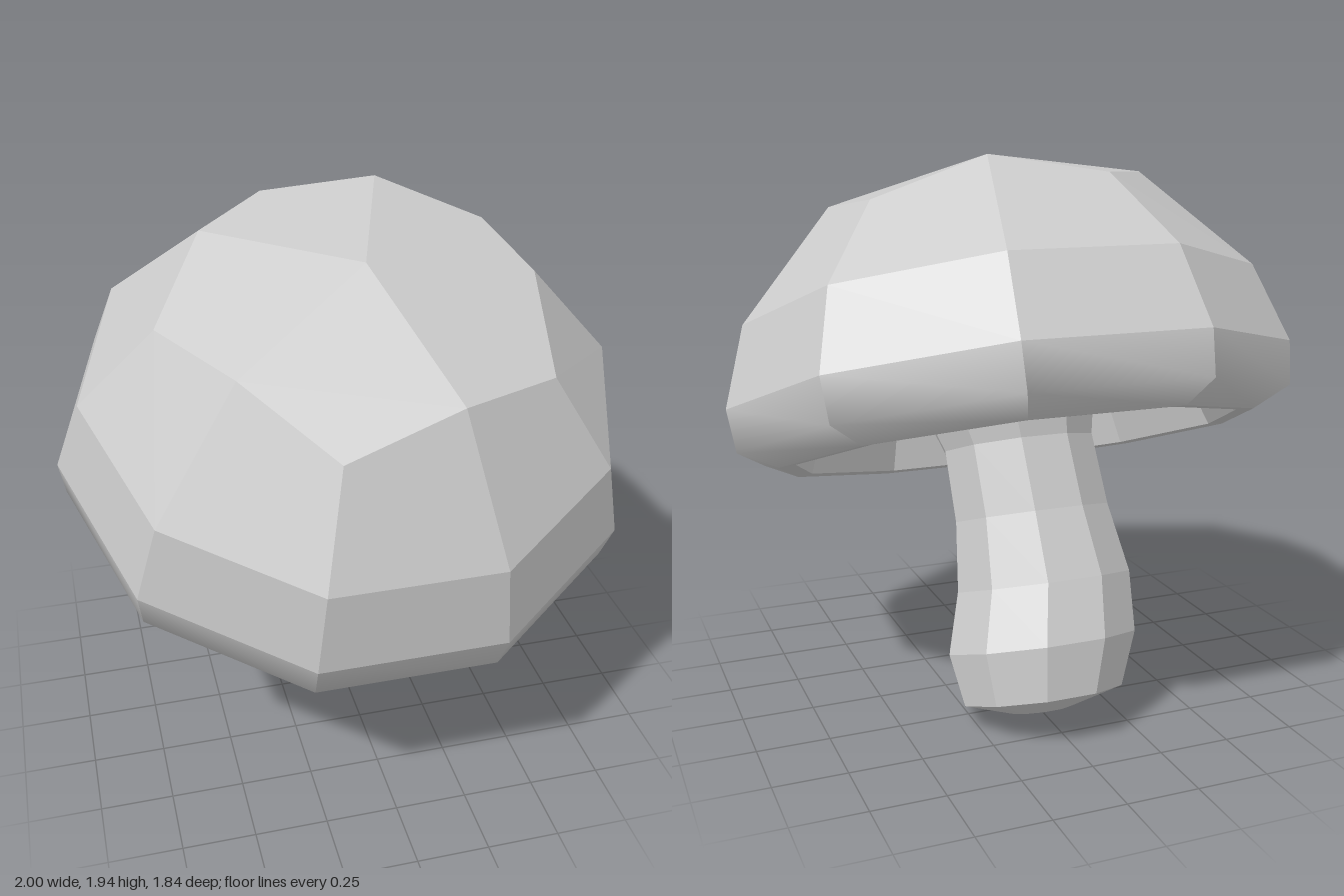
import * as THREE from 'three';

const SIDES = 10;

function buildGeometry(positions, index) {
  const geometry = new THREE.BufferGeometry();
  geometry.setAttribute('position', new THREE.Float32BufferAttribute(positions, 3));
  geometry.setIndex(index);
  geometry.computeVertexNormals();
  return geometry;
}

// Faceted surface through rings listed from bottom to top, one separate column per side.
// point(ring, side) returns [radius, height, sideways shift].
function facetedRings(ringCount, point) {
  const positions = [], index = [];
  for (let i = 0; i < SIDES; i++) {
    for (let j = 0; j < ringCount; j++) {
      for (const side of [i, (i + 1) % SIDES]) {
        const [r, h, shift = 0] = point(j, side);
        const t = (side / SIDES) * Math.PI * 2;
        positions.push(r * Math.cos(t) + shift, h, r * Math.sin(t));
      }
      if (j === ringCount - 1) continue;
      const a = (i * ringCount + j) * 2, b = a + 1, d = a + 2, c = a + 3;
      if (point(j + 1, i)[0] > 0) index.push(a, d, c);
      if (point(j, i)[0] > 0) index.push(a, c, b);
    }
  }
  return buildGeometry(positions, index);
}

// Crown: five kites around the tip, each running out to one corner and shaded as one face
function crownGeometry(tip, middle, corner) {
  const positions = [], index = [], normals = [];
  const push = ([r, h], t) => positions.push(r * Math.cos(t), h, r * Math.sin(t));
  const step = Math.PI / 5;
  const rise = tip[1] - corner[1];
  for (let k = 0; k < 5; k++) {
    const t = (2 * k + 1) * step, n = k * 4;
    push(tip, t);
    push(middle, t - step);
    push(middle, t + step);
    push(corner, t);
    index.push(n, n + 2, n + 1, n + 1, n + 2, n + 3);
    const normal = new THREE.Vector3(rise * Math.cos(t), corner[0], rise * Math.sin(t)).normalize();
    for (let v = 0; v < 4; v++) normals.push(...normal.toArray());
  }
  const geometry = buildGeometry(positions, index);
  geometry.setAttribute('normal', new THREE.Float32BufferAttribute(normals, 3));
  return geometry;
}

export function createModel() {
  const model = new THREE.Group();
  model.name = 'mushroom';
  const flat = new THREE.MeshStandardMaterial({ color: 0xcccccc, flatShading: true });
  const smooth = new THREE.MeshStandardMaterial({ color: 0xcccccc });

  // Cap and stem share one axis that leans forward
  const body = new THREE.Group();
  body.name = 'leaningBody';
  body.position.set(0, 0.92, -0.065);
  body.rotation.x = THREE.MathUtils.degToRad(20.5);
  model.add(body);

  const add = (name, geometry, material) => {
    const mesh = new THREE.Mesh(geometry, material);
    mesh.name = name;
    body.add(mesh);
  };

  const rim = [0.847, 0], lipTop = [1.0, 0.21];
  const crownMiddle = [0.575, 0.887], crownCorner = [0.66, 0.795];

  // Hollow underside of the cap
  const hollow = [[0, 0.26], [0.44, 0.24], [0.74, 0.14], [0.79, 0.005], rim];
  add('capUnderside', facetedRings(hollow.length, (j) => hollow[j]), flat);

  // Lip, rounded from bottom to top within each side
  const lip = [rim, [0.98, 0.062], lipTop];
  add('capLip', facetedRings(lip.length, (j) => lip[j]), smooth);

  // Dome, its upper edge alternating between crown corners and middles
  const dome = [lipTop, [0.915, 0.49]];
  add('capDome', facetedRings(3, (j, i) => dome[j] ?? (i % 2 ? crownCorner : crownMiddle)), flat);
  add('capCrown', crownGeometry([0, 0.99], crownMiddle, crownCorner), smooth);

  // Stem: rounded foot, swelling below, slightly bent, flared where it meets the cap
  const stem = [
    [0, -0.935, 0.03], [0.11, -0.93, 0.03], [0.285, -0.877, 0.02], [0.338, -0.698, 0],
    [0.315, -0.492, -0.035], [0.28, -0.25, -0.025], [0.272, 0, -0.01], [0.3, 0.1, 0], [0.45, 0.24, 0],
  ];
  add('stem', facetedRings(stem.length, (j) => stem[j]), flat);

  return model;
}
